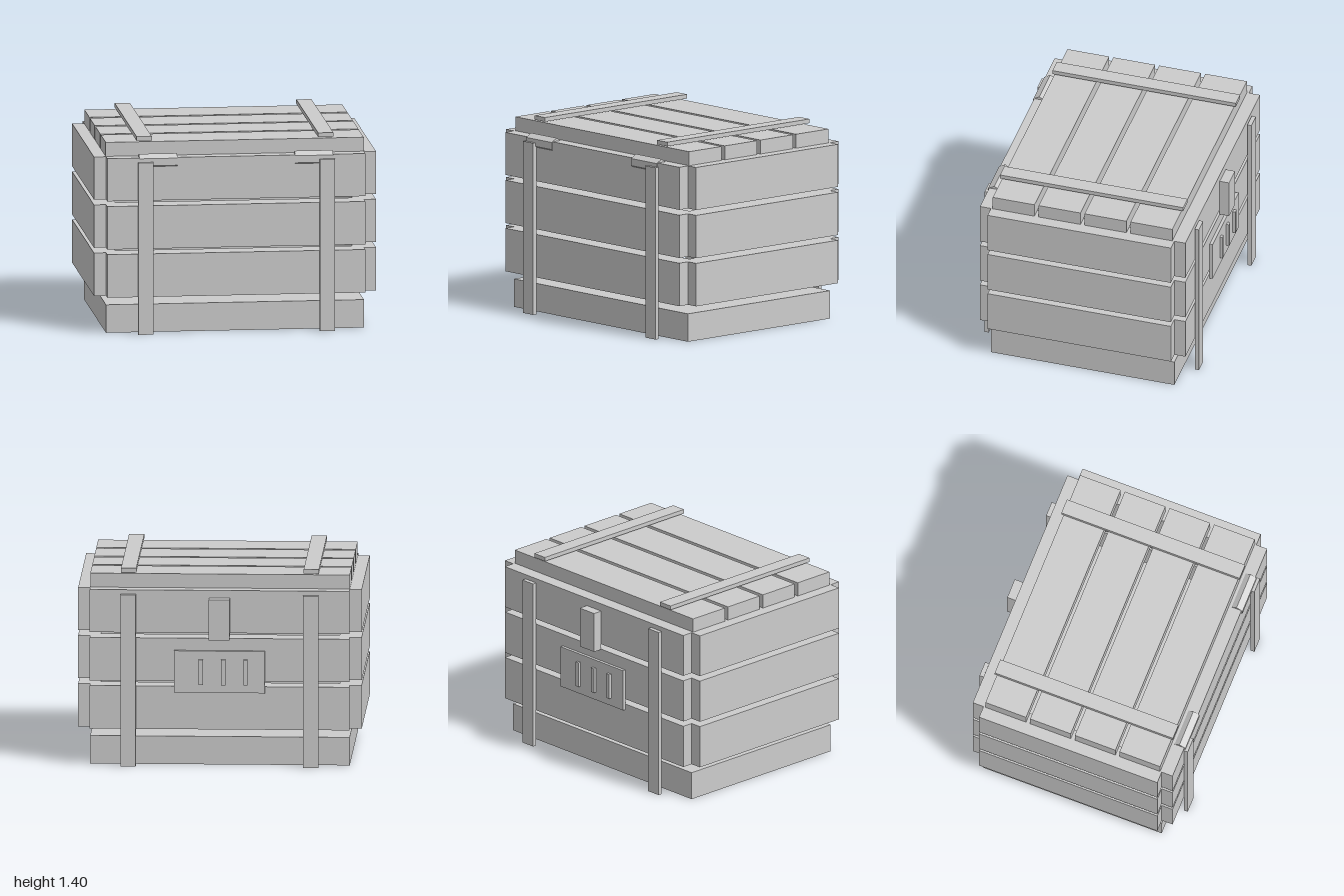
import * as THREE from 'three';

const material = new THREE.MeshStandardMaterial({ color: 0xcccccc, flatShading: true });

export function createModel() {
  const crate = new THREE.Group();
  crate.name = 'crate';

  // Box given by its extents on each axis
  const box = (name, [x0, x1], [y0, y1], [z0, z1]) => {
    const mesh = new THREE.Mesh(new THREE.BoxGeometry(x1 - x0, y1 - y0, z1 - z0), material);
    mesh.position.set((x0 + x1) / 2, (y0 + y1) / 2, (z0 + z1) / 2);
    mesh.name = name;
    crate.add(mesh);
    return mesh;
  };
  const mirrored = (side, a, b) => (side > 0 ? [a, b] : [-b, -a]);

  const width = [-0.915, 0.915];
  const depth = [-0.655, 0.693];

  box('base', width, [0, 0.2], depth);

  // Three open rings of wall planks with notched corners
  for (const y of [[0.265, 0.573], [0.61, 0.917], [0.955, 1.26]]) {
    box('frontPlank', width, y, [0.615, 0.775]);
    box('backPlank', width, y, [-0.736, -0.577]);
    for (const side of [1, -1]) box('sidePlank', mirrored(side, 0.842, 1), y, depth);
  }

  // Lid slats
  for (let i = 0; i < 4; i++) {
    const z = 0.681 - i * 0.338;
    box('lidSlat', width, [1.26, 1.36], [z - 0.307, z]);
  }

  // Hinge cross-section: bent cap over the front edge, as [z, y]
  const profile = [[0.693, 1.255], [0.738, 1.283], [0.783, 1.256], [0.783, 1.205], [0.772, 1.195], [0.693, 1.195]];
  const hingeShape = new THREE.Shape(profile.map(([z, y]) => new THREE.Vector2(-z, y)));
  const hingeGeometry = new THREE.ExtrudeGeometry(hingeShape, { depth: 0.27, bevelEnabled: false });
  hingeGeometry.rotateY(Math.PI / 2);

  // Battens and hinges on both sides
  for (const side of [1, -1]) {
    const x = mirrored(side, 0.59, 0.698);
    box('lidBatten', x, [1.37, 1.4], depth);
    box('frontBatten', x, [0, 1.23], [0.775, 0.805]);
    box('backBatten', x, [0, 1.23], [-0.77, -0.74]);

    const hinge = new THREE.Mesh(hingeGeometry, material);
    hinge.name = 'hinge';
    hinge.position.x = side > 0 ? 0.417 : -0.687;
    crate.add(hinge);
  }

  // Latch and slotted plate on the back
  box('latch', [-0.073, 0.073], [0.915, 1.205], [-0.805, -0.736]);
  box('backPlate', [-0.32, 0.32], [0.53, 0.83], [-0.758, -0.736]);
  for (const x of [-0.185, -0.028, 0.13]) {
    box('plateBar', [x - 0.015, x + 0.015], [0.588, 0.77], [-0.778, -0.757]);
  }

  return crate;
}
